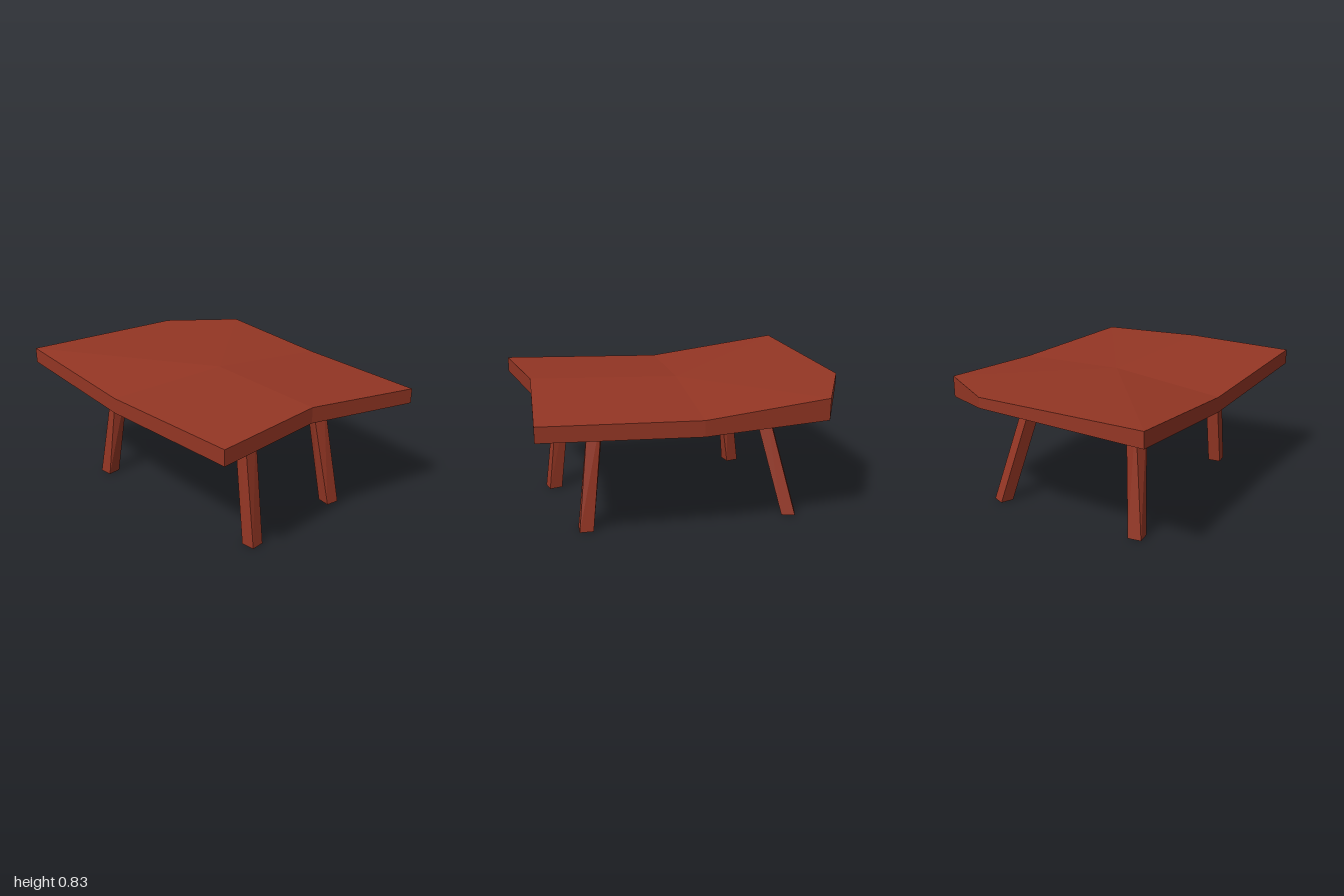
import * as THREE from 'three';

export function createModel() {
  const model = new THREE.Group();
  const wood = new THREE.MeshStandardMaterial({ color: 0x943624 });
  wood.name = 'red brown wood';

  // Warped tabletop: rim corners as [x, z, top height, bottom height]
  const rim = [
    [-0.81, -0.91, 0.835, 0.74],
    [0.26, -1.0, 0.82, 0.755],
    [0.72, -0.78, 0.807, 0.675],
    [0.81, -0.02, 0.755, 0.66],
    [0.81, 0.9, 0.782, 0.69],
    [0.05, 0.88, 0.835, 0.74],
    [-0.62, 1.0, 0.81, 0.715],
    [-0.7, -0.02, 0.755, 0.66],
  ];
  const middle = [0.05, -0.02, 0.8, 0.707];
  const top = (p) => [p[0], p[2], p[1]];
  const bottom = (p) => [p[0], p[3], p[1]];
  const points = [];
  const tri = (a, b, c) => points.push(...a, ...b, ...c);
  rim.forEach((p, i) => {
    const q = rim[(i + 1) % rim.length];
    tri(top(middle), top(q), top(p));
    tri(bottom(middle), bottom(p), bottom(q));
    tri(top(p), top(q), bottom(q));
    tri(top(p), bottom(q), bottom(p));
  });
  const slab = new THREE.BufferGeometry();
  slab.setAttribute('position', new THREE.Float32BufferAttribute(points, 3));
  slab.computeVertexNormals();
  const tabletop = new THREE.Mesh(slab, wood);
  tabletop.name = 'tabletop';
  model.add(tabletop);

  // Splayed square legs, slightly twisted from foot to top
  const height = 0.73;
  const addLeg = (name, foot, head, footYaw, headYaw) => {
    const box = new THREE.BoxGeometry(0.083, 1, 0.083).toNonIndexed();
    const pos = box.attributes.position;
    const v = new THREE.Vector3();
    const up = new THREE.Vector3(0, 1, 0);
    for (let i = 0; i < pos.count; i++) {
      v.fromBufferAttribute(pos, i);
      const t = v.y + 0.5;
      v.applyAxisAngle(up, THREE.MathUtils.lerp(footYaw, headYaw, t));
      pos.setXYZ(i,
        v.x + THREE.MathUtils.lerp(foot[0], head[0], t),
        t * height,
        v.z + THREE.MathUtils.lerp(foot[1], head[1], t));
    }
    box.computeVertexNormals();
    const leg = new THREE.Mesh(box, wood);
    leg.name = name;
    model.add(leg);
  };
  addLeg('frontRightLeg', [-0.247, 0.752], [-0.247, 0.66], 0.24, 0.12);
  addLeg('backRightLeg', [-0.5, -0.54], [-0.425, -0.45], 0.24, -0.24);
  addLeg('frontLeftLeg', [0.458, 0.615], [0.375, 0.523], 0, -0.24);
  addLeg('backLeftLeg', [0.478, -0.645], [0.315, -0.472], -0.3, -0.3);

  return model;
}
